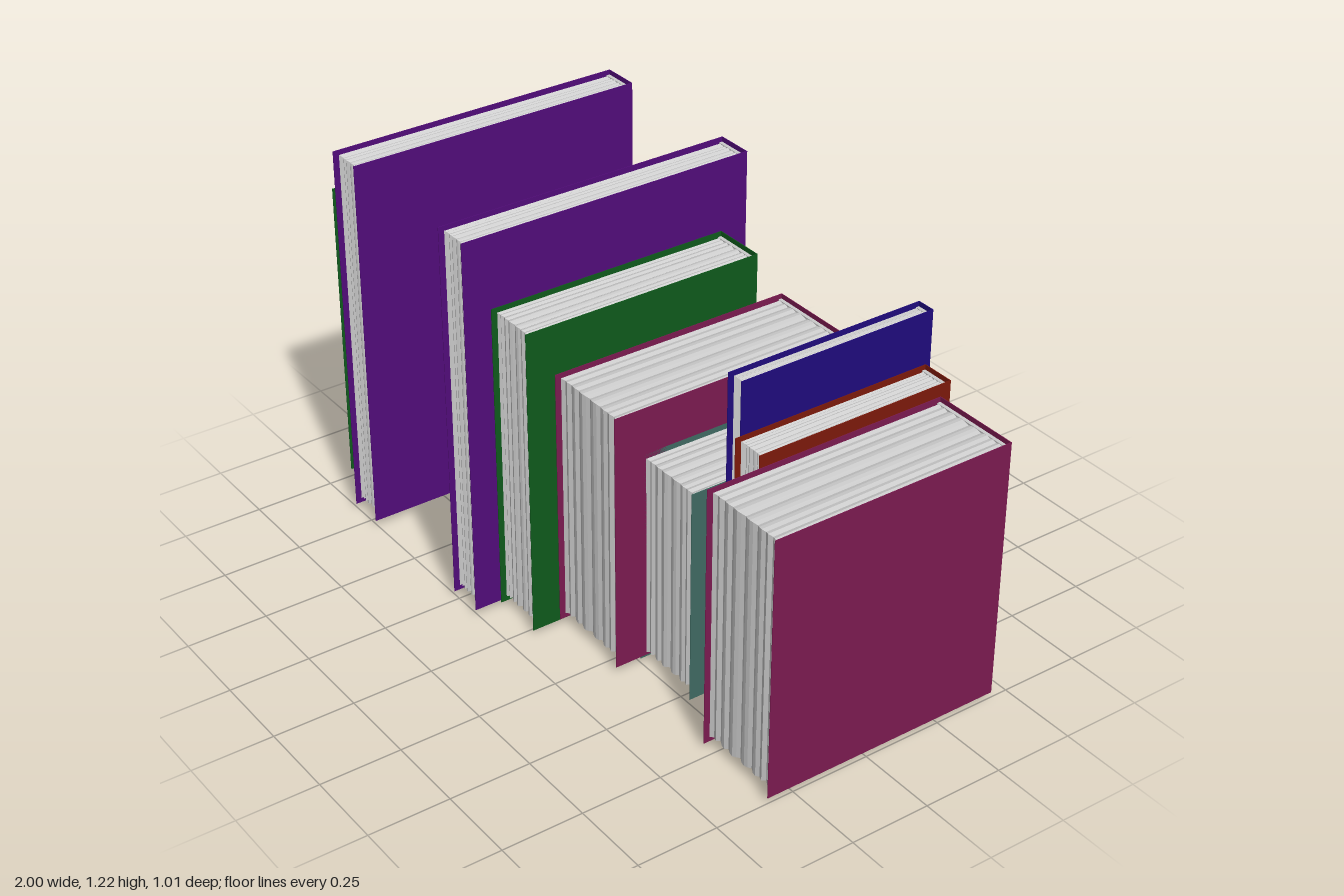
import * as THREE from 'three';

const GREEN = 0x0e5a1c, PURPLE = 0x520c7a, RED = 0x7d190b, TEAL = 0x3f6a62, BLUE = 0x1f0b7c, MAGENTA = 0x7b1a50;

// left x, right x, bottom y, top y, spine z, fore-edge z, cover colour
const BOOKS = [
  [-1.0, -0.83, 0.025, 1.0, -0.355, 0.424, GREEN],
  [-0.825, -0.708, 0.023, 1.215, -0.445, 0.508, PURPLE],
  [-0.7, -0.6, 0.03, 0.88, -0.48, 0.165, RED],
  [-0.585, -0.352, 0.022, 0.7, -0.4, 0.25, TEAL],
  [-0.338, -0.28, 0.005, 1.03, -0.505, 0.14, BLUE],
  [-0.263, -0.146, 0.022, 1.215, -0.445, 0.508, PURPLE],
  [-0.143, 0.027, 0.017, 0.99, -0.355, 0.424, GREEN],
  [0.028, 0.31, 0.02, 0.835, -0.445, 0.334, MAGENTA],
  [0.308, 0.542, 0.015, 0.69, -0.4, 0.25, TEAL],
  [0.544, 0.602, 0, 1.027, -0.505, 0.14, BLUE],
  [0.612, 0.716, 0.01, 0.87, -0.48, 0.165, RED],
  [0.718, 1.0, 0.017, 0.833, -0.445, 0.334, MAGENTA],
];

const BOARD = 0.002;
// uneven edge of the leaves, from the first page to the last
const EDGE = [0, 0.006, 0.002, 0.009, 0.003, 0.001, 0.007, 0.002, 0, 0.004, 0.009, 0.003,
  0.001, 0.003, 0.008, 0.002, 0, 0.005, 0.001, 0.008, 0.002, 0.006, 0];

function material(color) {
  return new THREE.MeshStandardMaterial({ color, flatShading: true });
}

function box(name, size, pos, mat) {
  const mesh = new THREE.Mesh(new THREE.BoxGeometry(...size), mat);
  mesh.name = name;
  mesh.position.set(...pos);
  return mesh;
}

// Block of leaves: ridged on the top, bottom and fore edge, narrower at the spine
function pageBlock(w, h, d) {
  const n = EDGE.length - 1;
  const geo = new THREE.BoxGeometry(w, h, d, n, 1, 1);
  const p = geo.attributes.position;
  for (let i = 0; i < p.count; i++) {
    const x = p.getX(i), y = p.getY(i), z = p.getZ(i);
    const dent = EDGE[Math.round((x / w + 0.5) * n)];
    p.setY(i, y - Math.sign(y) * dent * 0.7);
    if (z > 0) p.setZ(i, z - dent);
    else p.setX(i, x * (1 - 0.012 / Math.max(w, 0.1)));
  }
  geo.computeVertexNormals();
  return geo;
}

function makeBook([x0, x1, y0, y1, z0, z1, color]) {
  const book = new THREE.Group();
  book.name = 'book';
  const w = x1 - x0, h = y1 - y0, d = z1 - z0;
  const cover = material(color), paper = material(0xcccccc);

  // Two boards and the spine
  for (const s of [-1, 1]) {
    book.add(box(s < 0 ? 'rightCover' : 'leftCover', [BOARD, h, d], [s * (w - BOARD) / 2, 0, 0], cover));
  }
  book.add(box('spine', [w, h, BOARD], [0, 0, -(d - BOARD) / 2], cover));

  // Leaves, set in from the cover on three sides
  const inset = 0.015, depth = d - 0.018 - BOARD;
  const pages = new THREE.Mesh(pageBlock(w - 2 * BOARD - 0.002, h - 2 * inset, depth), paper);
  pages.name = 'pages';
  pages.position.z = -d / 2 + BOARD + depth / 2;
  book.add(pages);

  // Binding strip that joins the leaves to the spine
  book.add(box('bindingStrip', [w - 2 * BOARD, h - 2 * inset, 0.011], [0, 0, -d / 2 + BOARD + 0.0055], paper));

  book.position.set((x0 + x1) / 2, (y0 + y1) / 2, (z0 + z1) / 2);
  return book;
}

export function createModel() {
  const group = new THREE.Group();
  group.name = 'bookRow';
  for (const spec of BOOKS) group.add(makeBook(spec));
  return group;
}
